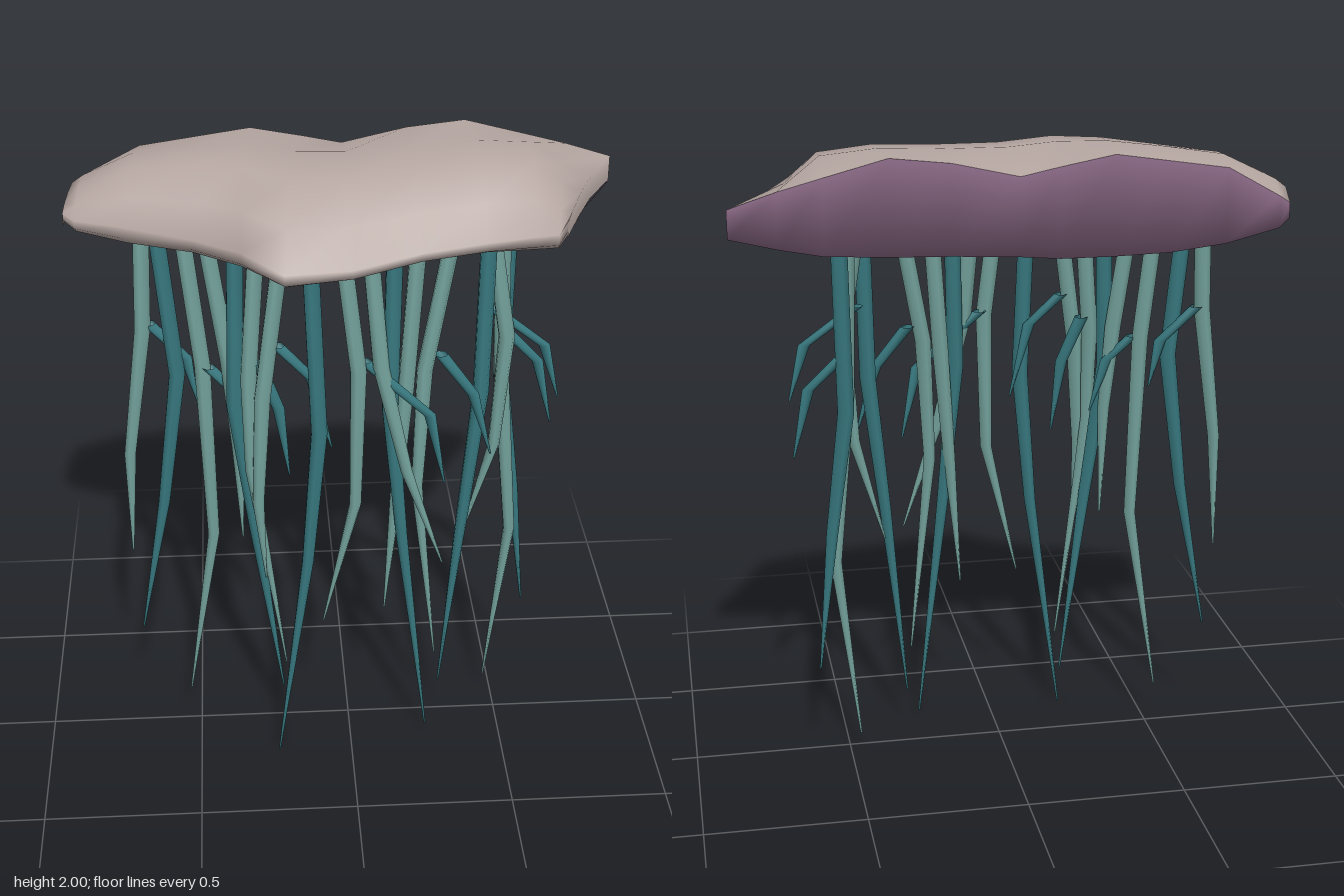
import * as THREE from 'three';

const mat = (name, color) => Object.assign(new THREE.MeshStandardMaterial({ color }), { name });
const BACK = -0.34, lerp = THREE.MathUtils.lerp;

// Slab stations along x: back x, front x, front z, then heights: back top, crown, front rim,
// underside, and how far down the lip the pale stone reaches
const STATIONS = [
  [-0.81, -0.845, -0.075, 1.83, 1.86, 1.835, 1.785, 0.8],
  [-0.78, -0.81, -0.05, 1.85, 1.885, 1.82, 1.755, 0.7],
  [-0.62, -0.66, 0.01, 1.94, 1.96, 1.82, 1.715, 0.6],
  [-0.45, -0.46, 0.09, 1.965, 1.985, 1.81, 1.695, 0.5],
  [-0.28, -0.32, 0.19, 1.99, 2.0, 1.81, 1.69, 0.55],
  [-0.12, -0.2, 0.33, 1.96, 1.995, 1.80, 1.69, 0.6],
  [0, 0, 0.285, 1.935, 1.985, 1.79, 1.70, 0.6],
  [0.2, 0.2, 0.225, 1.98, 1.99, 1.81, 1.71, 0.5],
  [0.38, 0.4, 0.185, 2.0, 2.0, 1.82, 1.715, 0.5],
  [0.57, 0.55, 0.15, 1.95, 1.985, 1.82, 1.725, 0.65],
  [0.70, 0.61, 0.14, 1.915, 1.91, 1.82, 1.75, 0.9],
  [0.84, 0.64, 0.10, 1.87, 1.865, 1.84, 1.785, 0.9],
];

// Section running over the crown, round the front rim, back underneath and up the rear
function section([xb, xf, zf, yT, yM, yF, yB, lip]) {
  return [
    [0, yT], [0.33, yM], [0.6, lerp(yF, yM, 0.93)], [0.86, lerp(yF, yM, 0.52)],
    [1, yF], [0.98, lerp(yF, yB, lip * 0.6)], [0.9, lerp(yF, yB, lip)],
    [0.5, lerp(yF, yB, 0.95)], [0, yB], [0, yT],
  ].map(([t, y]) => [lerp(xb, xf, t ** 0.8), y, lerp(BACK, zf, t)]);
}

// A section pressed flat at the lip height, which closes an end of the slab
function closing([xb, xf, zf, , , yF, yB, lip]) {
  const y = lerp(yF, yB, lip);
  return section([xb, xf, zf, y, y, y, y, lip]);
}

// Skin joining equal-length rows of points
function skin(rows) {
  const n = rows[0].length, index = [];
  for (let i = 0; i < rows.length - 1; i++) {
    for (let j = 0; j < n - 1; j++) {
      const a = i * n + j, c = a + n;
      index.push(a, a + 1, c, a + 1, c + 1, c);
    }
  }
  const g = new THREE.BufferGeometry();
  g.setAttribute('position', new THREE.Float32BufferAttribute(rows.flat(2), 3));
  g.setIndex(index);
  g.computeVertexNormals();
  return g;
}

// Tapered limb through a list of points, with a ring at each one
function limb(points, radii, sides = 7) {
  const rows = points.map(([x, y, z], i) => Array.from({ length: sides + 1 }, (_, k) => {
    const a = (k / sides) * Math.PI * 2;
    return [x + Math.cos(a) * radii[i], y, z + Math.sin(a) * radii[i]];
  }));
  return skin(rows);
}

// The hanging row follows the front outline of the slab
function rowZ(x) {
  if (x < -0.1) return lerp(-0.09, 0.17, (x + 0.62) / 0.52);
  if (x < 0.42) return lerp(0.17, 0.02, (x + 0.1) / 0.52);
  return lerp(0.02, -0.17, (x - 0.42) / 0.09);
}

// Tendrils: shade (0 pale, 1 deep), top x, upper bend x y, lower bend x y, tip x y
const TENDRILS = [
  [0, -0.62, -0.63, 1.45, -0.69, 1.02, -0.70, 0.65],
  [1, -0.57, -0.53, 1.30, -0.59, 0.85, -0.68, 0.36],
  [0, -0.49, -0.45, 1.35, -0.435, 0.75, -0.53, 0.13],
  [0, -0.42, -0.37, 1.38, -0.35, 1.1, -0.34, 0.75],
  [1, -0.34, -0.355, 1.25, -0.30, 0.8, -0.22, 0.18],
  [0, -0.28, -0.31, 1.35, -0.31, 1.05, -0.21, 0.30],
  [0, -0.21, -0.27, 1.30, -0.29, 0.95, -0.27, 0.66],
  [1, -0.12, -0.10, 1.20, -0.14, 0.75, -0.24, 0],
  [0, -0.02, 0.02, 1.40, 0.01, 0.95, -0.09, 0.51],
  [0, 0.06, 0.09, 1.40, 0.17, 1.05, 0.29, 0.70],
  [1, 0.13, 0.12, 1.25, 0.16, 0.80, 0.25, 0.04],
  [0, 0.20, 0.17, 1.30, 0.14, 0.92, 0.11, 0.51],
  [0, 0.30, 0.23, 1.35, 0.21, 0.95, 0.28, 0.30],
  [1, 0.42, 0.41, 1.25, 0.36, 0.80, 0.30, 0.16],
  [0, 0.48, 0.49, 1.25, 0.535, 0.68, 0.47, 0.08],
  [1, 0.51, 0.50, 1.20, 0.55, 0.80, 0.60, 0.35],
  [0, 0.44, 0.49, 1.42, 0.46, 1.05, 0.37, 0.72],
];

// Side shoots: root, elbow and tip, x y each
const SHOOTS = [
  [-0.61, 1.46, -0.50, 1.35, -0.47, 1.20],
  [-0.43, 1.35, -0.35, 1.27, -0.30, 1.10],
  [-0.28, 1.40, -0.22, 1.25, -0.19, 1.02],
  [-0.22, 1.47, -0.12, 1.37, -0.06, 1.13],
  [0.04, 1.42, 0.24, 1.24, 0.29, 1.00],
  [0.28, 1.40, 0.38, 1.27, 0.44, 1.06],
  [0.45, 1.50, 0.61, 1.38, 0.66, 1.20],
  [0.50, 1.38, 0.61, 1.27, 0.66, 1.05],
];

export function createModel() {
  const model = new THREE.Group();
  const stone = mat('pale stone', 0xb5a6a1);
  const plum = mat('plum underside', 0x906d8b);
  const shades = [mat('pale teal', 0x74a29c), mat('deep teal', 0x37787f)];
  shades.forEach((m) => { m.side = THREE.DoubleSide; });

  const add = (name, geometry, material, parent = model) => {
    const mesh = new THREE.Mesh(geometry, material);
    mesh.name = name;
    parent.add(mesh);
  };

  // Cap: rounded top and rim, with the underside turning up into the flat back
  const rows = [closing(STATIONS[0]), ...STATIONS.map(section), closing(STATIONS.at(-1))];
  const part = (from, to) => skin(rows.map((r) => r.slice(from, to + 1)));
  add('capTop', part(0, 6), stone);
  add('capUndersideAndBack', part(6, 9), plum);

  // Hanging tendrils
  const tendrils = new THREE.Group();
  tendrils.name = 'tendrils';
  model.add(tendrils);
  for (const [shade, x, x1, y1, x2, y2, x3, y3] of TENDRILS) {
    const z = rowZ(x);
    const points = [[x, 1.74, z], [x1, y1, z + 0.015], [x2, y2, z + 0.04], [x3, y3, z + 0.03]];
    add('tendril', limb(points, [0.026, 0.026, 0.019, 0.003]), shades[shade], tendrils);
  }

  // Bent side shoots
  const shoots = new THREE.Group();
  shoots.name = 'sideShoots';
  model.add(shoots);
  for (const [x, y, x1, y1, x2, y2] of SHOOTS) {
    const z = rowZ(x);
    const points = [[x, y, z], [x1, y1, z + 0.02], [x2, y2, z + 0.03]];
    add('sideShoot', limb(points, [0.022, 0.019, 0.003]), shades[1], shoots);
  }
  return model;
}
